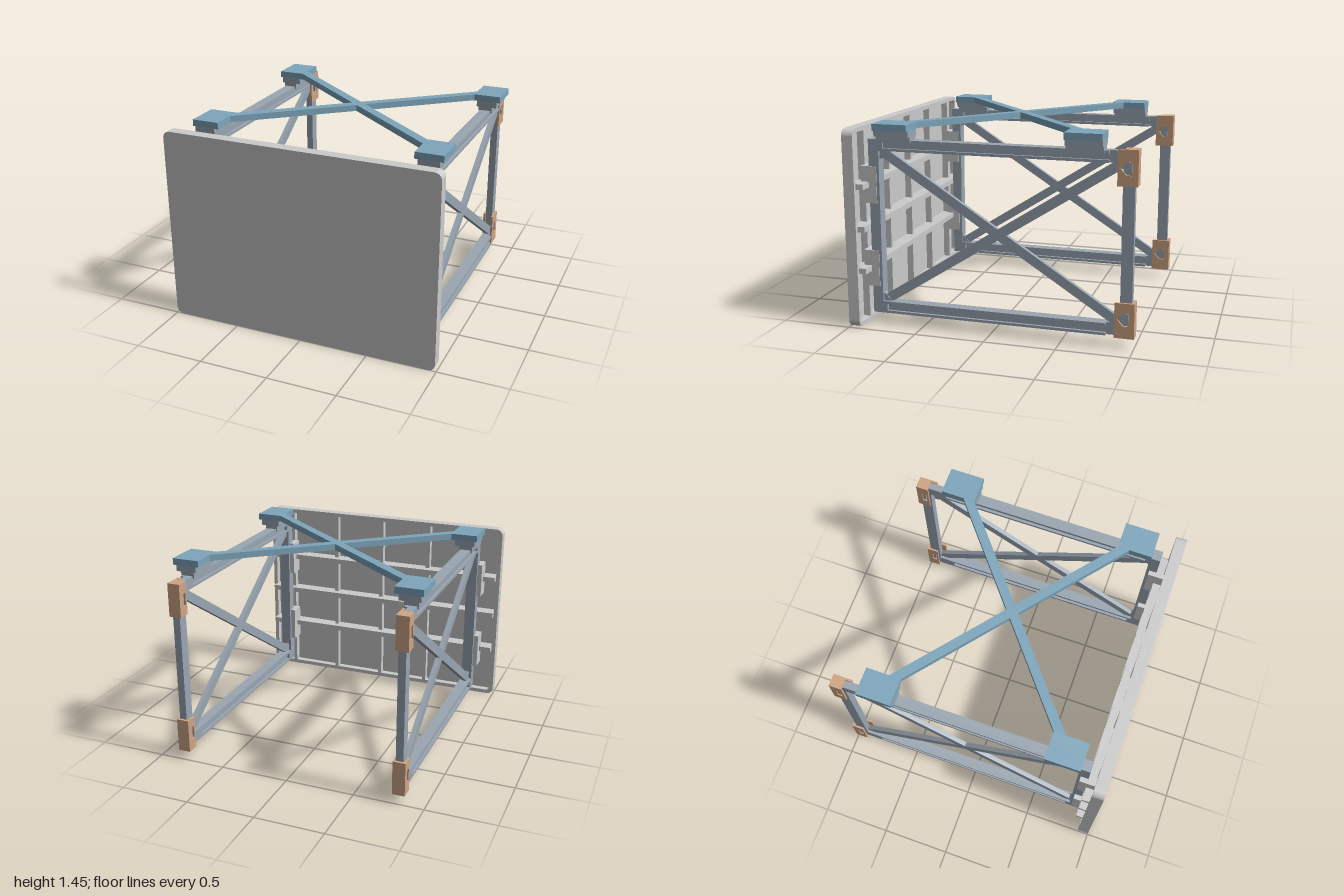
import * as THREE from 'three';

const material = (color, side = THREE.FrontSide) =>
  new THREE.MeshStandardMaterial({ color, flatShading: true, side });
const panelGrey = material(0xcccccc);
const steel = material(0x9aa6b2);
const blue = material(0x7ea6bc);
const tan = material(0xd0a584);

// Box given by its lower and upper limits on each axis
function box(parent, name, mat, [x0, x1], [y0, y1], [z0, z1]) {
  const mesh = new THREE.Mesh(new THREE.BoxGeometry(x1 - x0, y1 - y0, z1 - z0), mat);
  mesh.position.set((x0 + x1) / 2, (y0 + y1) / 2, (z0 + z1) / 2);
  mesh.name = name;
  parent.add(mesh);
  return mesh;
}

// Flat shape extruded to a given thickness
function extrude(parent, name, mat, shape, depth) {
  const geo = new THREE.ExtrudeGeometry(shape, { depth, bevelEnabled: false, curveSegments: 8 });
  const mesh = new THREE.Mesh(geo, mat);
  mesh.name = name;
  parent.add(mesh);
  return mesh;
}

function roundedRect(Path, x0, x1, y0, y1, r) {
  const p = new Path();
  p.absarc(x1 - r, y1 - r, r, 0, Math.PI / 2);
  p.absarc(x0 + r, y1 - r, r, Math.PI / 2, Math.PI);
  p.absarc(x0 + r, y0 + r, r, Math.PI, Math.PI * 1.5);
  p.absarc(x1 - r, y0 + r, r, Math.PI * 1.5, Math.PI * 2);
  p.closePath();
  return p;
}

// Front panel: plate, rim and stiffening ribs
function createPanel() {
  const g = new THREE.Group();
  g.name = 'frontPanel';
  const outline = () => roundedRect(THREE.Shape, -1, 0.99, 0, 1.41, 0.05);
  extrude(g, 'panelPlate', panelGrey, outline(), 0.03).position.z = 0.97;
  const rim = outline();
  rim.holes.push(roundedRect(THREE.Path, -0.97, 0.96, 0.03, 1.38, 0.025));
  extrude(g, 'panelRim', panelGrey, rim, 0.05).position.z = 0.92;
  for (const x of [-0.8, -0.4, 0, 0.4, 0.8])
    box(g, 'verticalRib', panelGrey, [x - 0.015, x + 0.015], [0.02, 1.39], [0.92, 0.975]);
  for (const y of [0.41, 0.71, 1.01])
    box(g, 'horizontalRib', panelGrey, [-0.97, 0.965], [y - 0.02, y + 0.02], [0.867, 0.975]);
  return g;
}

// Side plate of a corner clip, with an arrow-shaped slot; lies in the z-y plane
function slotPlate(parent, x, y0, y1, zFront, yc) {
  const s = new THREE.Shape([[1, y0], [1, y1], [-zFront, y1], [-zFront, y0]]
    .map(([a, b]) => new THREE.Vector2(a, b)));
  const h = zFront > -0.9 ? 0.885 : 0.925;
  s.holes.push(new THREE.Path([[h, yc], [0.925, yc + 0.045], [0.96, yc + 0.045],
    [0.96, yc - 0.045], [0.925, yc - 0.045]].map(([a, b]) => new THREE.Vector2(a, b))));
  const plate = extrude(parent, 'slottedClipSide', tan, s, 0.015);
  plate.rotation.y = Math.PI / 2; // shape x becomes -z, depth becomes +x
  plate.position.x = x;
}

// Clip around one rear corner of a side frame
function createCornerClip(y0, y1, top) {
  const g = new THREE.Group();
  g.name = 'cornerClip';
  const yc = top ? 1.215 : 0.2;
  slotPlate(g, 0.013, y0, y1, -0.865, yc);
  slotPlate(g, -0.062, y0, y1, -0.91, yc);
  box(g, 'clipBack', tan, [-0.05, 0.02], [y0, y1], [-1, -0.98]);
  box(g, 'clipCap', tan, [-0.05, 0.02], top ? [1.325, y1] : [y0, 0.09], [-1, -0.91]);
  box(g, 'clipPeg', steel, [-0.055, 0.024], [yc - 0.04, yc + 0.04], [-0.958, -0.936]);
  return g;
}

// Side frame: posts, channelled rails, crossed braces and clips
function createSideFrame(x) {
  const g = new THREE.Group();
  g.name = 'sideFrame';
  g.position.x = x;
  const wide = [-0.04, 0.04], rear = [-0.04, 0.013];
  box(g, 'frontPost', steel, wide, [0.085, 1.33], [0.79, 0.865]);
  box(g, 'rearPost', steel, rear, [0.085, 1.33], [-0.98, -0.9]);
  for (const [y0, y1] of [[0.085, 0.17], [1.25, 1.33]]) {
    box(g, 'railWeb', steel, [-0.02, 0.02], [y0, y1], [-0.81, 0.8]);
    box(g, 'railLowerFlange', steel, wide, [y0, y0 + 0.018], [-0.81, 0.8]);
    box(g, 'railUpperFlange', steel, wide, [y1 - 0.018, y1], [-0.81, 0.8]);
    box(g, 'railFrontEnd', steel, wide, [y0, y1], [0.76, 0.8]);
    box(g, 'railRearEnd', steel, rear, [y0, y1], [-0.92, -0.78]);
  }
  // crossed diagonal braces
  for (const s of [1, -1]) {
    const brace = box(g, 'diagonalBrace', steel, [-0.02, 0.013], [-0.033, 0.033], [-1, 1]);
    brace.scale.z = Math.hypot(1.7, 1.09) / 2;
    brace.position.set(-0.003, 0.71, -0.055);
    brace.rotation.x = s * Math.atan2(1.09, 1.7);
  }
  // corner gussets at the front post
  for (const [y, s] of [[0.17, 1], [1.25, -1]]) {
    const tri = new THREE.Shape([[-0.79, y], [-0.73, y], [-0.79, y + s * 0.06]]
      .map(([a, b]) => new THREE.Vector2(a, b)));
    const gusset = extrude(g, 'gusset', steel, tri, 0.04);
    gusset.rotation.y = Math.PI / 2;
    gusset.position.x = -0.02;
  }
  g.add(createCornerClip(0.07, 0.315, false), createCornerClip(1.1, 1.34, true));
  // clips joining the front post to the panel
  for (const y of [0.28, 0.88])
    box(g, 'panelClip', panelGrey, [-0.075, 0.045], [y, y + 0.26], [0.81, 0.925]);
  return g;
}

// Top cross: four pads on saddle blocks, joined by two diagonal bars
function createTopCross() {
  const g = new THREE.Group();
  g.name = 'topCross';
  for (const [x0, rail] of [[-0.885, -0.803], [0.738, 0.825]])
    for (const z0 of [-0.78, 0.55]) {
      const z = [z0, z0 + 0.25];
      box(g, 'pad', blue, [x0, x0 + 0.198], [1.398, 1.445], z);
      box(g, 'saddleUpper', steel, [rail - 0.065, rail + 0.085], [1.355, 1.4], z);
      box(g, 'saddleLower', steel, [rail - 0.05, rail + 0.05], [1.312, 1.356], z);
    }
  for (const s of [1, -1]) {
    const bar = box(g, 'crossBar', blue, [-0.96, 0.96], [1.399, 1.444], [-0.033, 0.033]);
    bar.position.x = 0.026;
    bar.position.z = 0.01;
    bar.rotation.y = s * Math.atan2(1.16, 1.42);
  }
  return g;
}

export function createModel() {
  const model = new THREE.Group();
  model.name = 'panelFrame';
  model.add(createPanel(), createSideFrame(-0.803), createSideFrame(0.825), createTopCross());
  return model;
}
